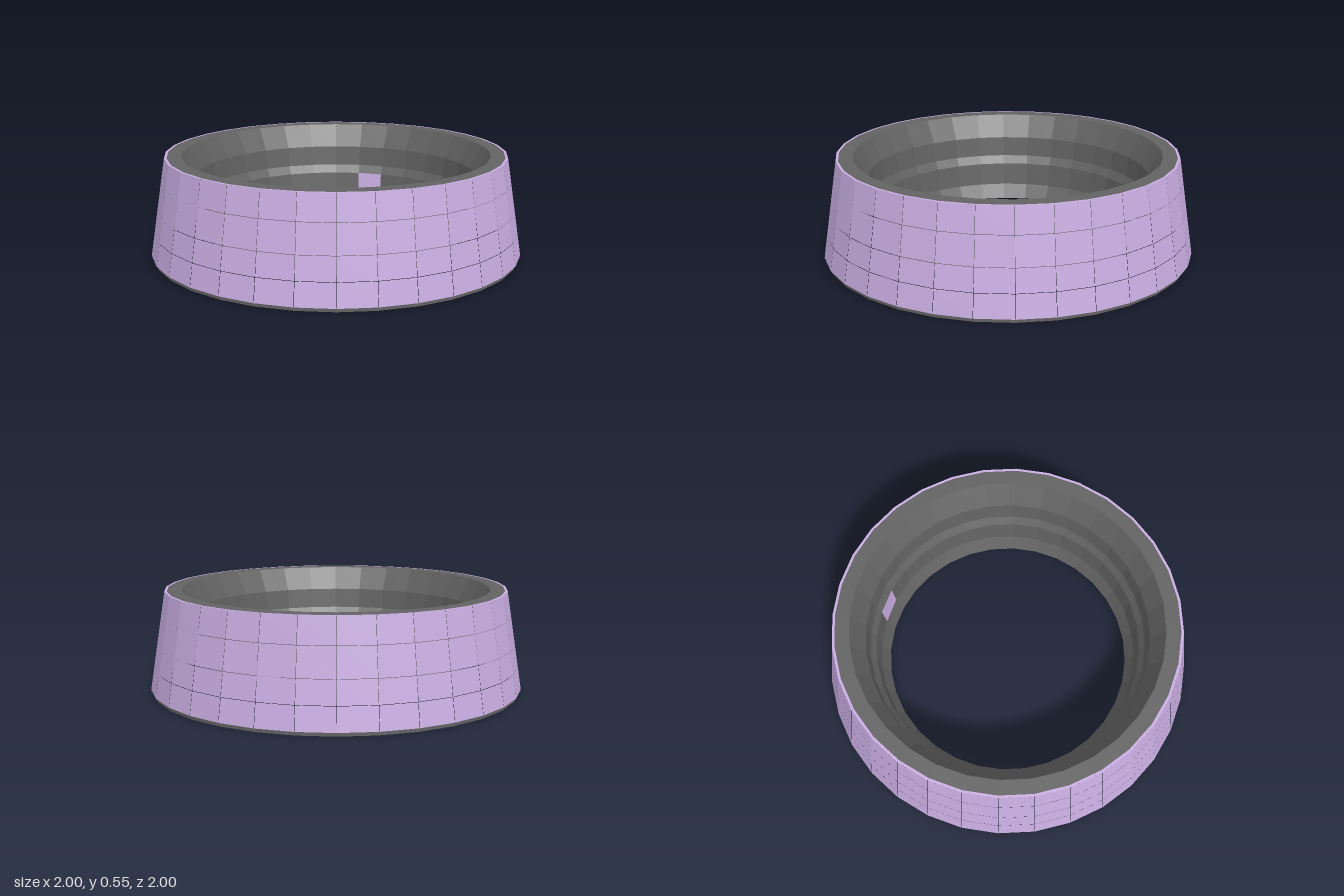
import * as THREE from 'three';

const SIDES = 32;
const STEP = (Math.PI * 2) / SIDES;

const makeMaterial = (color) =>
  new THREE.MeshStandardMaterial({ color, flatShading: true, side: THREE.DoubleSide });

// Open faceted surface swept around y, from [radius, height] points
function sweep(name, points, material, start = 0, segments = SIDES, gap = 0) {
  const profile = points.map(([r, y]) => new THREE.Vector2(r, y));
  const geometry = new THREE.LatheGeometry(
    profile, segments, start * STEP + gap, segments * STEP - 2 * gap);
  const mesh = new THREE.Mesh(geometry, material);
  mesh.name = name;
  return mesh;
}

export function createModel() {
  const model = new THREE.Group();
  model.name = 'taperedRing';
  const lilac = makeMaterial(0xc9aee2);
  const grey = makeMaterial(0x626262);

  // Outer shell: four rows of flat tiles with hairline seams
  const shell = new THREE.Group();
  shell.name = 'outerShell';
  const rows = [0.02, 0.14, 0.26, 0.41, 0.545];
  const seam = 0.001;
  const radiusAt = (y) => 1 - (0.085 * (y - 0.02)) / 0.525;
  for (let row = 0; row < rows.length - 1; row++) {
    const low = rows[row] + (row > 0 ? seam : 0);
    const high = rows[row + 1] - (row < rows.length - 2 ? seam : 0);
    for (let side = 0; side < SIDES; side++) {
      shell.add(sweep('shellTile',
        [[radiusAt(low), low], [radiusAt(high), high]], lilac, side, 1, seam));
    }
  }
  model.add(shell);

  // Thin lilac edge and flat grey rim on top, grey lip at the foot
  model.add(sweep('topEdge', [[0.915, 0.545], [0.902, 0.545]], lilac));
  model.add(sweep('topRim', [[0.902, 0.545], [0.825, 0.545]], grey));
  model.add(sweep('bottomLip', [[0.99, 0], [0.99, 0.02], [1, 0.02]], grey));

  // Inner funnel: stepped wall hanging from the rim
  model.add(sweep('upperInnerWall',
    [[0.825, 0.545], [0.755, 0.42], [0.742, 0.31], [0.715, 0.265]], grey));
  model.add(sweep('lowerInnerWall', [[0.7, 0.14], [0.66, 0.06]], grey));

  // Middle band of the funnel, with one lilac panel at the back
  const band = [[0.715, 0.265], [0.7, 0.14]];
  model.add(sweep('middleInnerWall', band, grey, SIDES / 2, SIDES - 1));
  model.add(sweep('innerPanel', band, lilac, SIDES / 2 - 1, 1));

  return model;
}
